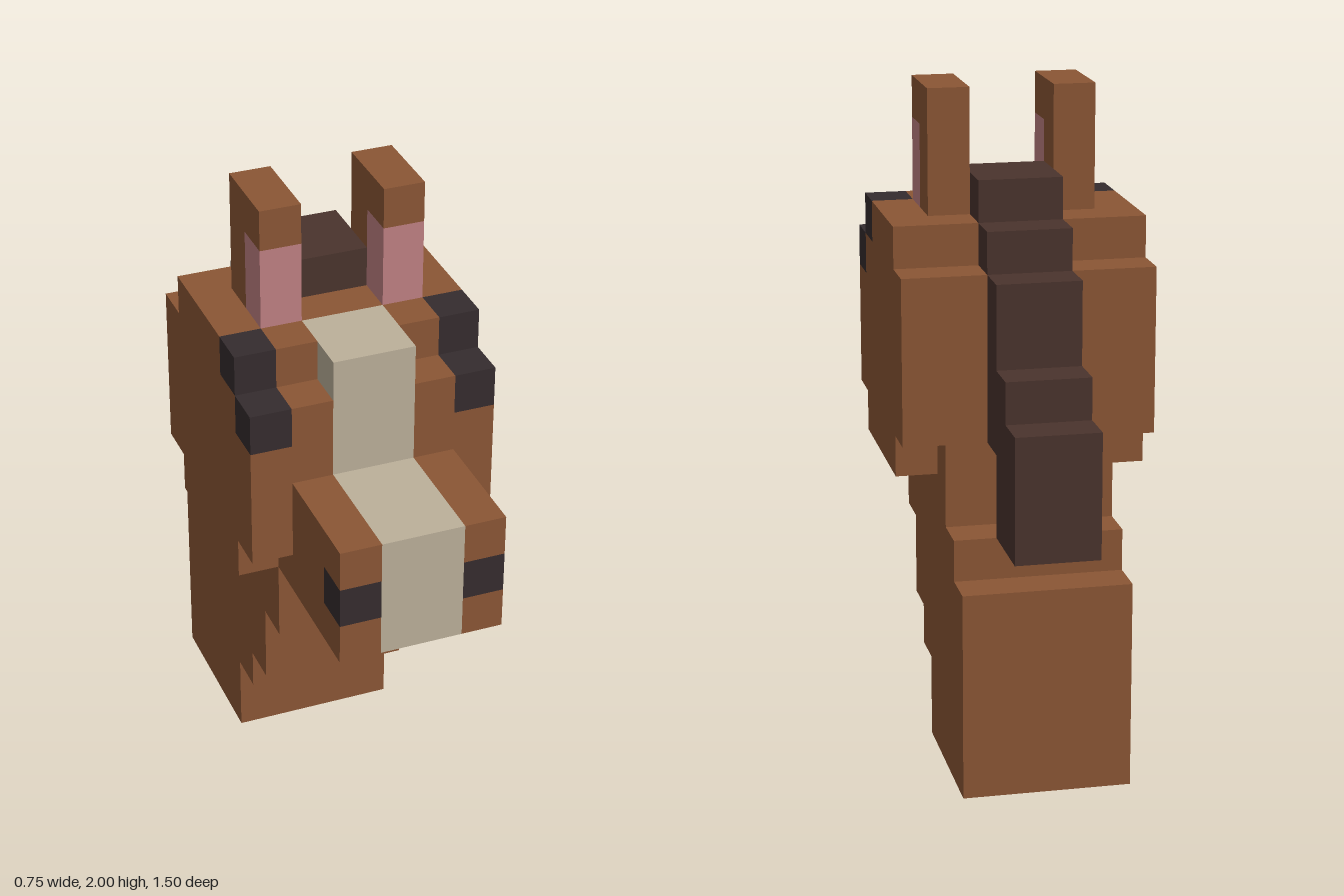
import * as THREE from 'three';

const U = 0.125; // one block

function material(name, color) {
  const m = new THREE.MeshStandardMaterial({ color });
  m.name = name;
  return m;
}

export function createModel() {
  const coat = material('chestnut coat', 0x8b5635);
  const cream = material('cream blaze', 0xbcb09a);
  const maneBrown = material('dark mane', 0x4a342d);
  const black = material('eye black', 0x352c2e);
  const pink = material('ear pink', 0xc08083);

  const horse = new THREE.Group();
  horse.name = 'horseHead';

  // Slab with a stepped side profile [z, y], spanning x0..x1 (all in blocks)
  function slab(name, mat, x0, x1, profile) {
    const shape = new THREE.Shape(profile.map(([z, y]) => new THREE.Vector2(z * U, y * U)));
    const geo = new THREE.ExtrudeGeometry(shape, { depth: (x1 - x0) * U, bevelEnabled: false });
    geo.rotateY(-Math.PI / 2).translate(x1 * U, 0, 0);
    const mesh = new THREE.Mesh(geo, mat);
    mesh.name = name;
    horse.add(mesh);
  }

  // Box from min and max corners in blocks
  function block(name, mat, x0, x1, y0, y1, z0, z1) {
    const mesh = new THREE.Mesh(new THREE.BoxGeometry((x1 - x0) * U, (y1 - y0) * U, (z1 - z0) * U), mat);
    mesh.position.set((x0 + x1) / 2 * U, (y0 + y1) / 2 * U, (z0 + z1) / 2 * U);
    mesh.name = name;
    horse.add(mesh);
  }

  // Stepped throat and nape shared by the centre and side slabs
  const throat = [[-5, 0], [-1, 0], [-1, 2], [0, 2], [0, 3], [1, 3], [1, 5], [2, 5], [2, 7]];
  const nape = [[-2, 13], [-2, 12], [-3, 12], [-3, 6], [-4, 6], [-4, 5], [-5, 5]];

  // Centre of the neck and head, cut back where the blaze sits
  slab('neckAndHeadCore', coat, -1, 1,
    [...throat, [3, 7], [3, 10], [2, 10], [2, 12], [1, 12], [1, 13], ...nape]);

  // Blaze: forehead, face and muzzle
  slab('blaze', cream, -1, 1,
    [[3, 7], [6, 7], [6, 10], [3, 10], [3, 13], [1, 13], [1, 12], [2, 12], [2, 10], [3, 10]].slice(4, 9).concat([[3, 10]]));
  block('muzzleBlaze', cream, -1, 1, 7, 10, 3, 6);

  // Mane running from the poll down the back of the neck
  block('forelock', maneBrown, -1, 1, 13, 14, -2, 0);
  block('upperMane', maneBrown, -1, 1, 12, 13, -3, -2);
  slab('mane', maneBrown, -1, 1,
    [[-6, 6], [-4, 6], [-4, 8], [-3, 8], [-3, 12], [-4, 12], [-4, 10], [-5, 10], [-5, 9], [-6, 9]]);

  for (const [side, s] of [['left', 1], ['right', -1]]) {
    const span = (a, b) => (s > 0 ? [a, b] : [-b, -a]);
    const inner = span(1, 2), outer = span(2, 3);

    // Side of the neck, head and muzzle, notched for the nostril
    slab(side + 'NeckAndHeadSide', coat, ...inner,
      [...throat, [6, 7], [6, 8], [5, 8], [5, 9], [6, 9], [6, 10], [3, 10], [3, 12], [2, 12], [2, 13], ...nape]);
    block(side + 'Nostril', black, ...inner, 8, 9, 5, 6);

    // Cheek, stepped around the eye
    slab(side + 'Cheek', coat, ...outer,
      [[-3, 8], [-2, 8], [-2, 7], [2, 7], [2, 8], [3, 8], [3, 11], [2, 11], [2, 12], [1, 12],
        [1, 13], [-2, 13], [-2, 12], [-3, 12]]);
    block(side + 'EyeTop', black, ...outer, 12, 13, 1, 2);
    block(side + 'EyeFront', black, ...outer, 11, 12, 2, 3);

    // Ear with a pink front
    slab(side + 'Ear', coat, ...inner, [[-1, 13], [0, 13], [0, 15], [1, 15], [1, 16], [-1, 16]]);
    block(side + 'EarLining', pink, ...inner, 13, 15, 0, 1);
  }
  return horse;
}
